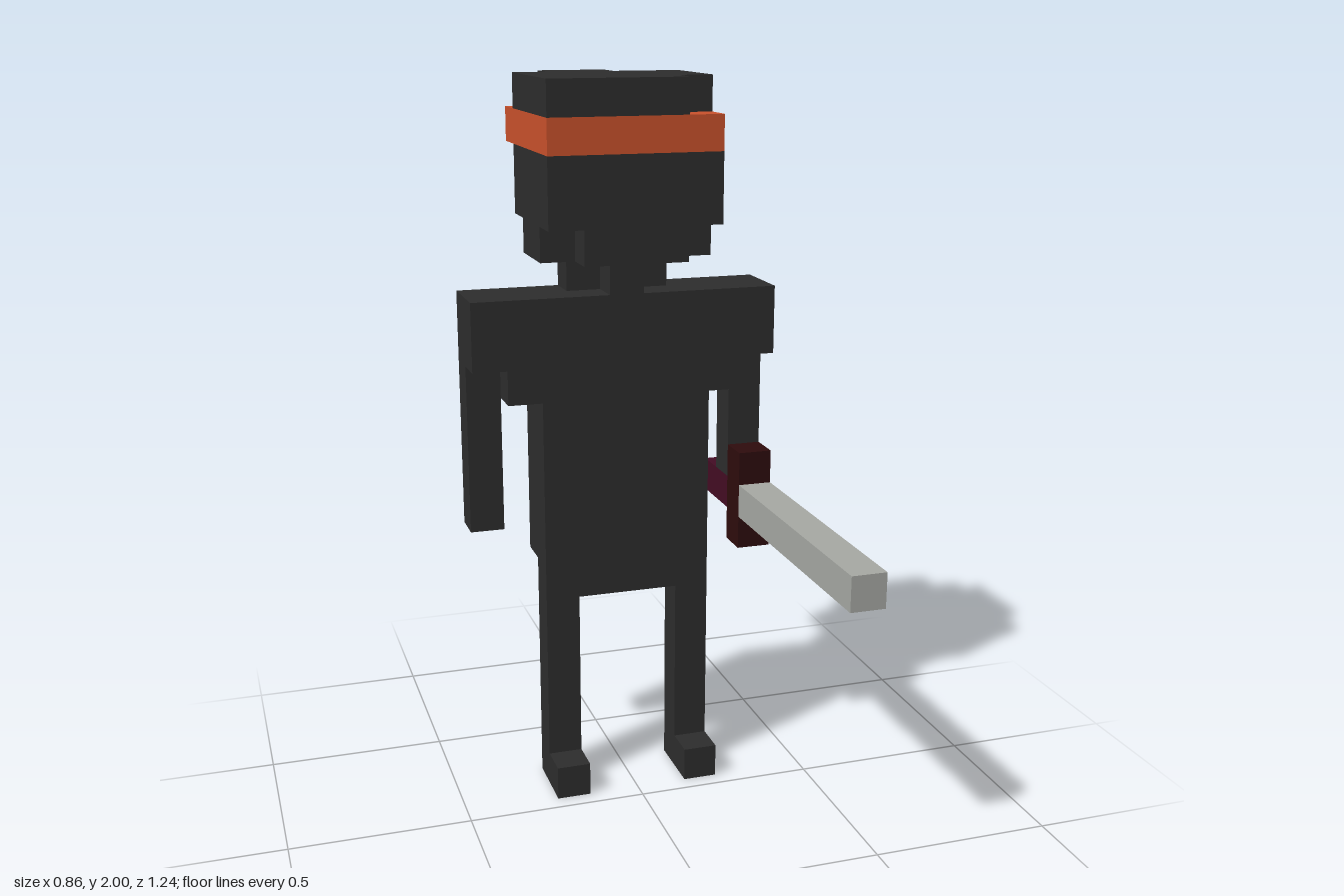
import * as THREE from 'three';

const U = 2 / 21; // edge of one cube; the figure is 21 cubes tall

export function createModel() {
  const model = new THREE.Group();
  const mat = (name, color) => {
    const m = new THREE.MeshStandardMaterial({ color });
    m.name = name;
    return m;
  };
  const cloth = mat('charcoal cloth', 0x2d2d2d);
  const orange = mat('orange band', 0xcb522c);
  const steel = mat('steel', 0xa7a9a4);
  const guardBrown = mat('guard brown', 0x2e0c0d);
  const gripMaroon = mat('grip maroon', 0x440c24);

  // Box between cube coordinates: x 0..9, y 0..21, z 0 (back)..13 (front)
  const box = (name, material, [x0, x1], [y0, y1], [z0, z1], parent = model) => {
    const geo = new THREE.BoxGeometry((x1 - x0) * U, (y1 - y0) * U, (z1 - z0) * U);
    const mesh = new THREE.Mesh(geo, material);
    mesh.position.set(((x0 + x1) / 2 - 4.5) * U, ((y0 + y1) / 2) * U, ((z0 + z1) / 2 - 6.5) * U);
    mesh.name = name;
    parent.add(mesh);
  };
  const group = (name) => {
    const g = new THREE.Group();
    g.name = name;
    model.add(g);
    return g;
  };

  // Legs and feet
  for (const [side, x] of [['right', 2], ['left', 6]]) {
    box(side + 'Leg', cloth, [x, x + 1], [0, 6], [4, 5]);
    box(side + 'Foot', cloth, [x, x + 1], [0, 1], [5, 6]);
  }

  // Torso, chest and shoulders
  const body = group('body');
  box('hips', cloth, [2, 7], [6, 7], [4, 5], body);
  box('torso', cloth, [2, 7], [7, 12], [3, 5], body);
  box('chest', cloth, [1, 8], [12, 13], [3, 5], body);
  box('shoulders', cloth, [0, 9], [13, 15], [3, 5], body);

  // Arms
  box('rightArm', cloth, [0, 1], [8, 13], [3, 4]);
  box('leftArm', cloth, [8, 9], [9, 13], [3, 4]);

  // Neck
  box('neck', cloth, [3, 6], [15, 16], [3, 4]);
  box('throat', cloth, [4, 5], [15, 16], [4, 5]);

  // Head: chin with cut corners, face, stepped back of the hood, crown
  const head = group('head');
  box('chin', cloth, [3, 6], [16, 17], [2, 6], head);
  box('rightJaw', cloth, [2, 3], [16, 17], [3, 5], head);
  box('leftJaw', cloth, [6, 7], [16, 17], [3, 5], head);
  box('face', cloth, [2, 7], [17, 19], [2, 6], head);
  box('hoodBackLow', cloth, [4, 5], [17, 18], [1, 2], head);
  box('hoodBack', cloth, [3, 6], [18, 20], [1, 2], head);
  box('crown', cloth, [2, 7], [20, 21], [2, 5], head);
  box('crownFront', cloth, [2, 6], [20, 21], [5, 6], head);
  box('crownBack', cloth, [3, 5], [20, 21], [1, 2], head);

  // Headband wrapped round the head, with a hanging tail
  const band = group('headband');
  box('bandRing', orange, [2, 7], [19, 20], [2, 6], band);
  box('bandBackRight', orange, [2, 3], [19, 20], [1, 2], band);
  box('bandBackLeft', orange, [6, 7], [19, 20], [1, 2], band);
  box('bandKnot', orange, [3, 5], [19, 20], [0, 1], band);
  box('bandTail', orange, [5, 6], [13, 20], [0, 1], band);

  // Sword held forward in the left hand
  const sword = group('sword');
  box('grip', gripMaroon, [8, 9], [8, 9], [2, 4], sword);
  box('guard', guardBrown, [8, 9], [7, 10], [4, 5], sword);
  box('blade', steel, [8, 9], [8, 9], [5, 13], sword);

  return model;
}
